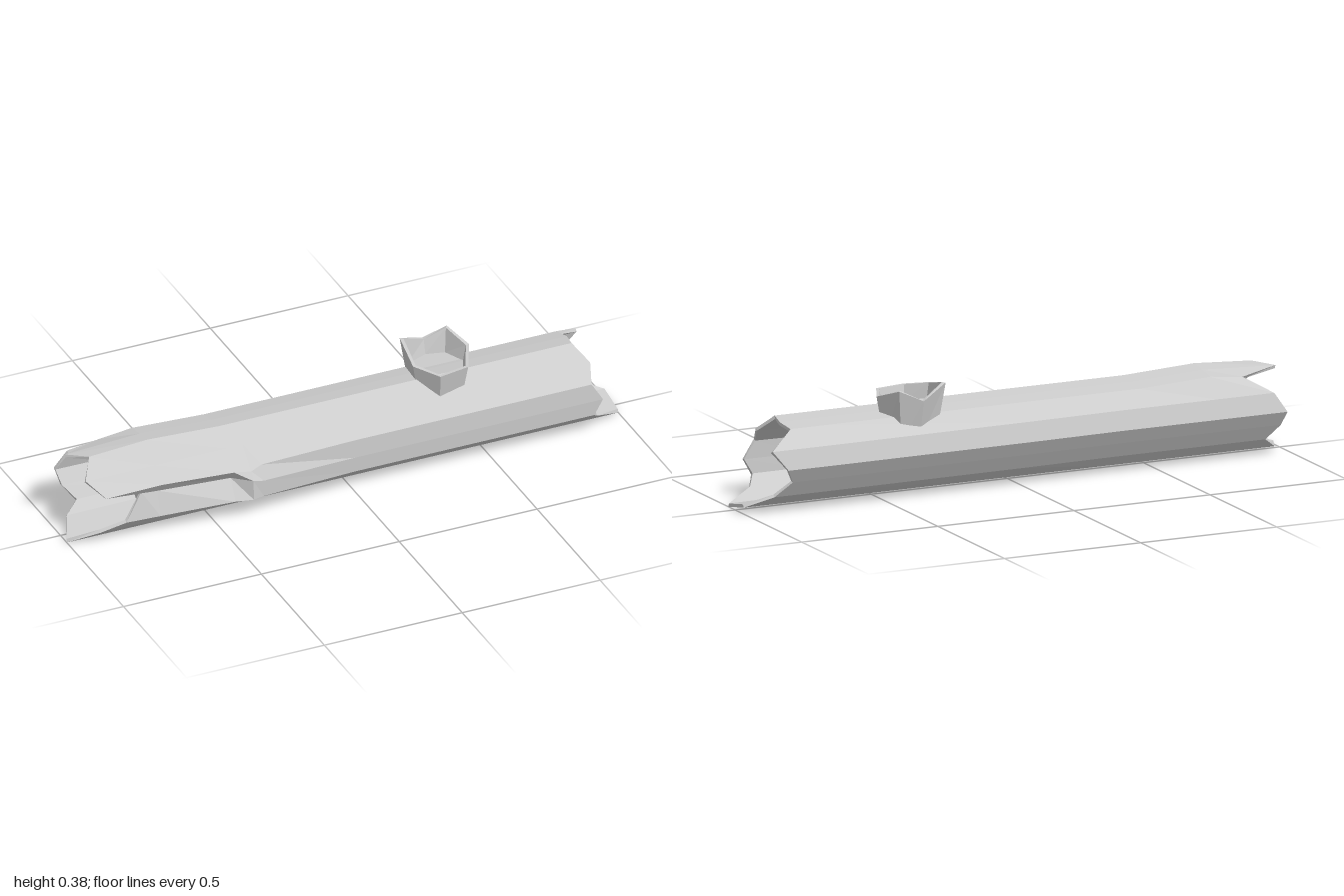
import * as THREE from 'three';

// Skin a list of closed rings (each an array of [x, y, z]) with flat facets.
function loft(rings, name) {
  const pos = [];
  const n = rings[0].length;
  for (let r = 0; r < rings.length - 1; r++) {
    for (let i = 0; i < n; i++) {
      const j = (i + 1) % n;
      const a = rings[r][i], b = rings[r][j], c = rings[r + 1][j], d = rings[r + 1][i];
      pos.push(...a, ...b, ...c, ...a, ...c, ...d);
    }
  }
  const geo = new THREE.BufferGeometry();
  geo.setAttribute('position', new THREE.Float32BufferAttribute(pos, 3));
  geo.computeVertexNormals();
  const mat = new THREE.MeshStandardMaterial({ color: 0xcccccc, flatShading: true, side: THREE.DoubleSide });
  const mesh = new THREE.Mesh(geo, mat);
  mesh.name = name;
  return mesh;
}

// Cross-section of the trunk: z, y, jagged right end x, jagged left end x
const SECTION = [
  [0.05, 0.0, 1.0, -1.0],
  [-0.065, 0.022, 1.0, -0.95],
  [-0.113, 0.058, 0.91, -0.9],
  [-0.147, 0.11, 0.86, -0.94],
  [-0.178, 0.16, 0.89, -0.95],
  [-0.16, 0.225, 0.94, -0.91],
  [-0.09, 0.277, 0.84, -0.82],
  [-0.03, 0.288, 0.85, -0.97],
  [0.03, 0.297, 0.84, -0.91],
  [0.09, 0.245, 0.88, -0.95],
  [0.145, 0.195, 0.86, -0.9],
  [0.148, 0.13, 0.9, -0.76],
  [0.145, 0.075, 0.87, -0.82],
  [0.1, 0.04, 0.9, -0.9],
];

// Split bark on the front: [z, y] of points 10, 11 and 12 at some stations
const WOUND = {
  '-0.34': [[0.15, 0.19], [0.172, 0.14], [0.17, 0.08]],
  '-0.38': [[0.158, 0.178], [0.176, 0.15], [0.178, 0.08]],
  '-0.44': [[0.152, 0.185], [0.125, 0.15], [0.165, 0.08]],
  '-0.7': [[0.14, 0.195], [0.115, 0.16], [0.138, 0.075]],
};

function outerPoint(i, x) {
  let [z, y] = SECTION[i];
  const w = WOUND[String(x)];
  if (w && i >= 10 && i <= 12) [z, y] = w[i - 10];
  // the back narrows to the left, the top swells a little
  if (z < -0.1) z += x < -0.3 ? 0.015 : x < 0.3 ? 0.007 : 0;
  if (y > 0.25 && x > -0.75 && x < -0.5) y += 0.013;
  return [x, y, z];
}

const inset = ([x, y, z], k = 0.92) => [x, 0.15 + (y - 0.15) * k, z * k];

function buildTrunk() {
  const ids = SECTION.map((_, i) => i);
  const ring = (x) => ids.map((i) => outerPoint(i, x));
  const rightEnd = ids.map((i) => outerPoint(i, SECTION[i][2]));
  const leftEnd = ids.map((i) => {
    const p = outerPoint(i, SECTION[i][3]);
    if (i === 11) { p[1] = 0.17; p[2] = 0.115; }
    if (i === 12) p[2] = 0.13;
    return p;
  });
  const centre = (x) => ids.map(() => [x, 0.15, 0]);
  const innerRing = (x) => ring(x).map((p) => inset(p, 0.9));
  // hollow left end, outside, hollow right end
  return loft([
    centre(-0.7), innerRing(-0.7), leftEnd.map((p) => inset(p)),
    leftEnd, ...[-0.7, -0.44, -0.38, -0.34, 0, 0.72].map(ring), rightEnd,
    rightEnd.map((p) => inset(p)), innerRing(0.7), centre(0.7),
  ], 'trunk');
}

// Broken hollow branch, narrowing into the trunk
function buildBranchStub() {
  const rim = [
    [0.38, 0.335, -0.15], [0.28, 0.38, -0.11], [0.265, 0.35, 0.03], [0.33, 0.335, 0.105],
    [0.44, 0.335, 0.085], [0.5, 0.34, -0.04], [0.46, 0.372, -0.13],
  ];
  const scaled = (k, y) => rim.map(([x, ry, z]) =>
    [0.38 + (x - 0.38) * k, y ?? ry, -0.02 + (z + 0.02) * k]);
  return loft([scaled(0.75, 0.19), scaled(1), scaled(0.9), scaled(0.8, 0.285), scaled(0, 0.285)], 'branchStub');
}

export function createModel() {
  const log = new THREE.Group();
  log.name = 'hollowLog';
  log.add(buildTrunk(), buildBranchStub());
  return log;
}
